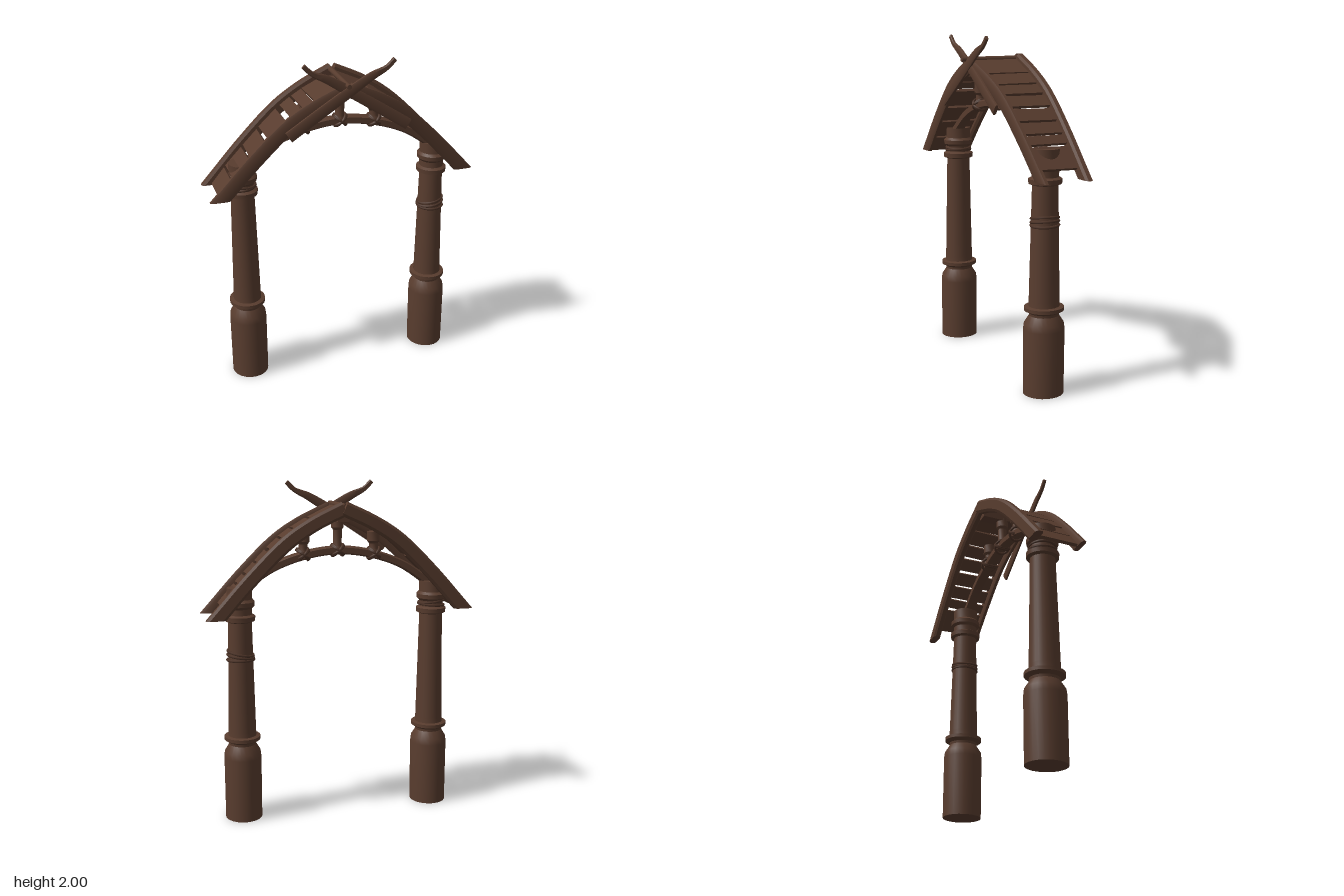
import * as THREE from 'three';
import { toCreasedNormals } from 'three/addons/utils/BufferGeometryUtils.js';

const wood = new THREE.MeshStandardMaterial({ color: 0x583c2e });
wood.name = 'brown wood';
const rope = new THREE.MeshStandardMaterial({ color: 0x4c3327 });
rope.name = 'dark rope';

function add(parent, name, geometry, material = wood) {
  const mesh = new THREE.Mesh(geometry, material);
  mesh.name = name;
  parent.add(mesh);
  return mesh;
}

// Chamfered beam swept along [x, y, z, width, depth] stations in a mostly upright plane.
// cutY slices the first end off level.
function beam(stations, steps = 18, cutY = null) {
  const path = new THREE.CatmullRomCurve3(stations.map(s => new THREE.Vector3(s[0], s[1], s[2])));
  const section = [[1, .55], [.65, 1], [-.65, 1], [-1, .55], [-1, -.55], [-.65, -1], [.65, -1], [1, -.55]];
  const n = section.length, pos = [], idx = [];
  for (let i = 0; i <= steps; i++) {
    const u = i / steps, p = path.getPoint(u), t = path.getTangent(u);
    const k = u * (stations.length - 1), a = Math.min(Math.floor(k), stations.length - 2), f = k - a;
    const w = THREE.MathUtils.lerp(stations[a][3], stations[a + 1][3], f) / 2;
    const d = THREE.MathUtils.lerp(stations[a][4], stations[a + 1][4], f) / 2;
    const l = Math.hypot(t.x, t.y);
    for (const [sn, sz] of section) {
      const v = new THREE.Vector3(p.x - t.y / l * sn * w, p.y + t.x / l * sn * w, p.z + sz * d);
      if (i === 0 && cutY !== null) v.addScaledVector(t, (cutY - v.y) / t.y);
      pos.push(v.x, v.y, v.z);
    }
  }
  for (let i = 0; i < steps; i++) for (let j = 0; j < n; j++) {
    const a = i * n + j, b = i * n + (j + 1) % n;
    idx.push(a, b, a + n, b, b + n, a + n);
  }
  const e = steps * n;
  for (let j = 1; j < n - 1; j++) idx.push(0, j + 1, j, e, e + j, e + j + 1);
  const g = new THREE.BufferGeometry();
  g.setAttribute('position', new THREE.Float32BufferAttribute(pos, 3));
  g.setIndex(idx);
  return toCreasedNormals(g, 0.6);
}

const lathe = (profile, seg) =>
  toCreasedNormals(new THREE.LatheGeometry(profile.map(p => new THREE.Vector2(...p)), seg), 0.6);

// Centre line of the right half of the roof, from eave to ridge
const roofLine = [[.745, 1.245], [.54, 1.47], [.335, 1.665], [.18, 1.765], [0, 1.85]];

export function createModel() {
  const model = new THREE.Group();
  model.name = 'woodenArch';
  let seed = 7;
  const rand = () => (seed = (seed * 16807) % 2147483647) / 2147483647 - .5;

  // Turned posts
  const postProfile = [[0, 0], [.11, 0], [.111, .38], [.107, .415], [.08, .46], [.082, .475], [.107, .49],
    [.107, .51], [.084, .515], [.082, .55], [.069, 1.2], [.088, 1.208], [.09, 1.235], [.072, 1.245],
    [.072, 1.28], [.086, 1.295], [.088, 1.32], [.074, 1.335], [.074, 1.4], [0, 1.4]];
  for (const s of [-1, 1]) {
    const post = add(model, s > 0 ? 'leftPost' : 'rightPost', lathe(postProfile, 24));
    post.position.set(s * .59, 0, -.03);
    post.scale.z = 1.07;
  }

  // Rope turns round the posts
  const ropeRing = (x, y, r, tilt, twist) => {
    const ring = add(model, 'postRope', new THREE.TorusGeometry(r, .008, 6, 24), rope);
    ring.position.set(x, y, -.03);
    ring.rotation.set(Math.PI / 2 + twist, tilt, 0);
  };
  ropeRing(.59, .975, .078, 0, .04);
  ropeRing(.59, .995, .078, .15, 0);
  ropeRing(.59, 1.015, .077, .2, -.05);
  ropeRing(-.59, 1.255, .078, .08, 0);
  ropeRing(-.59, 1.272, .077, -.1, .05);

  // Curved rafters: front and back pair on each side
  for (const s of [-1, 1]) {
    const zs = s > 0 ? { front: [.08, .148], back: [-.187, -.17] } : { front: [.125, .148], back: [-.148, -.175] };
    for (const side of ['front', 'back']) {
      const front = side === 'front', [z0, z1] = zs[side];
      let line = roofLine.map(([x, y], i) =>
        [s * x, y - (front ? i * .005 : -.002), z0 + (z1 - z0) * i / 4, .085, front ? .032 : .046]);
      add(model, side + 'Rafter', beam(line, 18, 1.24));
    }
  }

  // Roof planks following the rafters
  const curve = new THREE.CatmullRomCurve3(roofLine.map(([x, y]) => new THREE.Vector3(x, y, 0)));
  const spans = {
    '1': [[0, .15], [.16, .25], [.26, .325], [.338, .4], [.415, .475], [.485, .54], [.55, .59], [.602, .7]],
    '-1': [[.05, .185], [.19, .25], [.26, .32], [.345, .45], [.465, .55], [.56, .655], [.665, .75]],
  };
  const atX = x => {
    let lo = 0, hi = 1;
    for (let i = 0; i < 24; i++) {
      const m = (lo + hi) / 2;
      if (curve.getPoint(m).x > x) lo = m; else hi = m;
    }
    return curve.getPoint(lo);
  };
  for (const s of [-1, 1]) for (const [x0, x1] of spans[s]) {
    const a = atX(x0), b = atX(x1), mid = a.clone().add(b).multiplyScalar(.5);
    const zFront = s > 0 ? .14 - .085 * mid.x : .14 - .04 * mid.x, zBack = -.165;
    const plank = add(model, 'roofPlank', new THREE.BoxGeometry(a.distanceTo(b), .018, zFront - zBack));
    plank.position.set(s * mid.x, mid.y, (zFront + zBack) / 2);
    plank.rotation.set(rand() * .03, rand() * .07, s * Math.atan2(b.y - a.y, b.x - a.x) + rand() * .06);
  }

  // Ridge pole
  const ridge = add(model, 'ridgePole', new THREE.CylinderGeometry(.014, .017, .37, 10));
  ridge.rotation.x = Math.PI / 2;
  ridge.position.set(-.012, 1.862, .015);

  // Crossed gable boards with upturned tips
  for (const s of [-1, 1]) {
    add(model, 'gableBoard', beam([
      [-s * .355, 1.595, .163 + s * .005, .065, .02], [-s * .18, 1.71, .163 + s * .005, .064, .02],
      [0, 1.825, .163 + s * .005, .06, .02], [s * .13, 1.905, .163 + s * .005, .046, .02],
      [s * .215, 1.945, .163 + s * .005, .028, .02], [s * .262, 1.99, .163 + s * .005, .026, .018]], 20));
  }

  // Lower tie arch between the posts
  const tie = [[-.58, 1.385], [-.4, 1.505], [-.2, 1.575], [0, 1.6], [.2, 1.575], [.4, 1.505], [.58, 1.385]];
  add(model, 'tieArch', beam(tie.map(([x, y]) => [x, y, -.02, .05, .06]), 28));

  // Struts from tie arch to roof, with crossed lashings
  const strutProfile = h => [[0, 0], [.034, 0], [.034, .02], [.027, .035], [.027, h - .07], [.038, h - .055], [.038, h], [0, h]];
  for (const [x, y, h, lean] of [[0, 1.59, .2, 0], [-.225, 1.565, .14, -.04], [.21, 1.57, .14, .04]]) {
    const strut = add(model, 'strut', lathe(strutProfile(h), 12));
    strut.position.set(x, y, -.02);
    strut.rotation.z = lean;
    for (const a of [-.95, -.75, .75, .95]) {
      const lash = add(model, 'lashing', new THREE.TorusGeometry(.046, .008, 6, 18), rope);
      lash.position.set(x, y + .01, -.02);
      lash.rotation.set(0, Math.PI / 2, a, 'ZYX');
    }
  }

  // Collar beam under the ridge
  const collar = add(model, 'collarBlock', new THREE.BoxGeometry(.07, .05, .28));
  collar.position.set(0, 1.8, -.02);
  return model;
}
